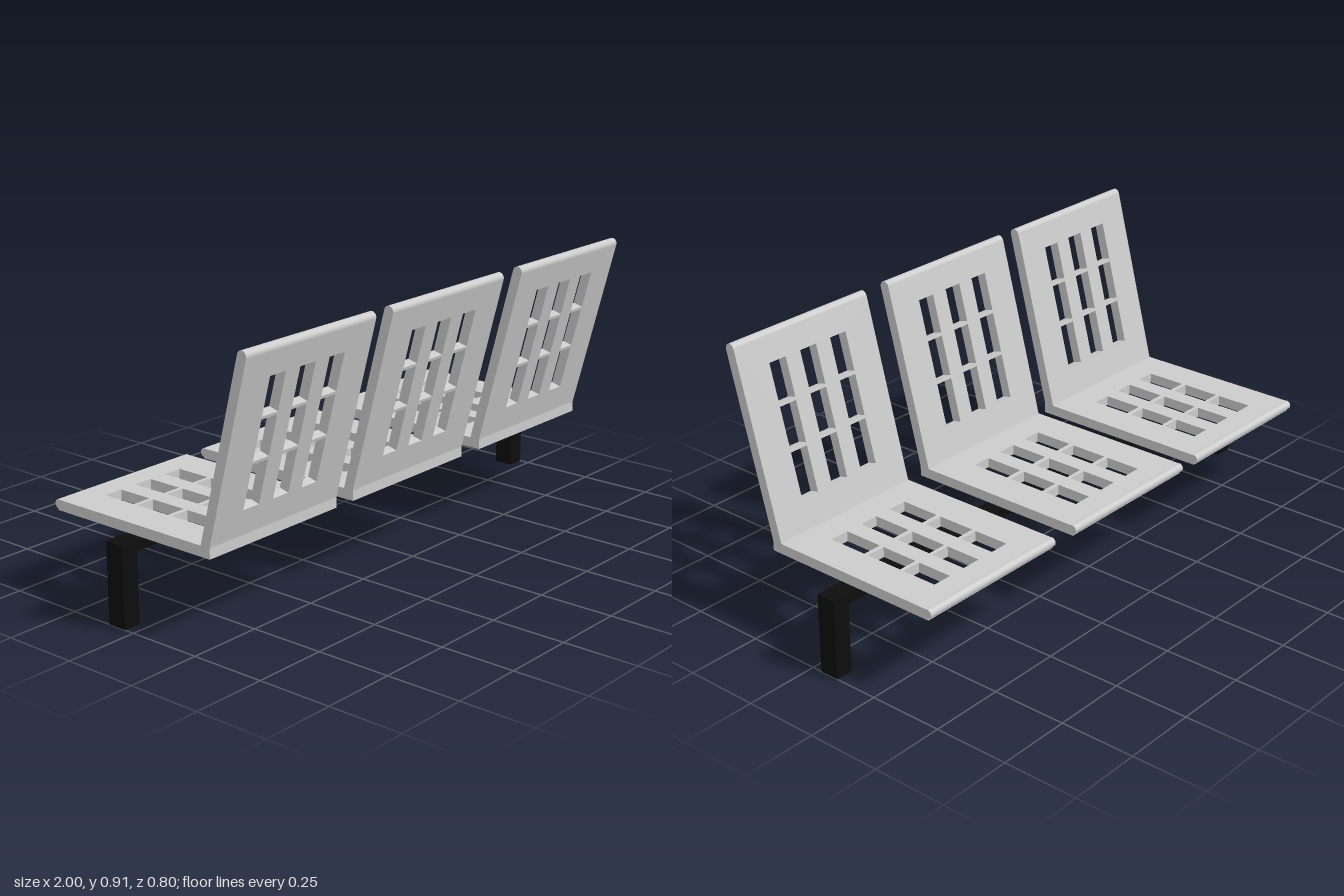
import * as THREE from 'three';

const WIDTH = 0.553;
const THICK = 0.034;
const SLOT_W = 0.066;

const shellMat = new THREE.MeshStandardMaterial({ color: 0xcccccc });
const frameMat = new THREE.MeshStandardMaterial({ color: 0x0d0d0d });

function addMesh(parent, name, geometry, material, x = 0, y = 0, z = 0) {
  const mesh = new THREE.Mesh(geometry, material);
  mesh.name = name;
  mesh.position.set(x, y, z);
  parent.add(mesh);
  return mesh;
}

function rectangle(path, x0, y0, x1, y1) {
  path.moveTo(x0, y0);
  path.lineTo(x1, y0);
  path.lineTo(x1, y1);
  path.lineTo(x0, y1);
  path.closePath();
  return path;
}

// Flat panel in x/y, three columns of slots; rows are [start, end] along y
function slottedPanel(y0, y1, rows) {
  const shape = rectangle(new THREE.Shape(), -WIDTH / 2, y0, WIDTH / 2, y1);
  for (const x of [-0.126, 0, 0.126]) {
    for (const [a, b] of rows) {
      shape.holes.push(rectangle(new THREE.Path(), x - SLOT_W / 2, a, x + SLOT_W / 2, b));
    }
  }
  return new THREE.ExtrudeGeometry(shape, { depth: THICK, bevelEnabled: false });
}

function roundedEdge(radius) {
  return new THREE.CylinderGeometry(radius, radius, WIDTH, 24).rotateZ(Math.PI / 2);
}

function createChair() {
  const chair = new THREE.Group();
  chair.name = 'chair';

  // Horizontal seat with a rounded lip
  const seat = slottedPanel(-0.245, 0.388, [[-0.115, 0.022], [0.038, 0.168], [0.182, 0.305]]);
  seat.rotateX(-Math.PI / 2);
  addMesh(chair, 'seat', seat, shellMat, 0, 0.27, 0);
  addMesh(chair, 'seatLip', roundedEdge(0.015), shellMat, 0, 0.29, -0.385);

  // Reclined backrest, hinged on the outer lower edge
  const backrest = new THREE.Group();
  backrest.name = 'backrest';
  backrest.position.set(0, 0.305, 0.245);
  backrest.rotation.x = THREE.MathUtils.degToRad(14.7);
  const panel = slottedPanel(-0.012, 0.602, [[0.089, 0.239], [0.249, 0.384], [0.394, 0.522]]);
  addMesh(backrest, 'backPanel', panel, shellMat, 0, 0, -THICK);
  addMesh(backrest, 'backTopEdge', roundedEdge(THICK / 2), shellMat, 0, 0.602, -THICK / 2);
  chair.add(backrest);
  return chair;
}

export function createModel() {
  const bench = new THREE.Group();
  bench.name = 'bench';

  // Three chairs in a row
  for (const x of [-0.649, -0.018, 0.632]) {
    const chair = createChair();
    chair.position.x = x;
    bench.add(chair);
  }

  // Supporting beam and two legs
  addMesh(bench, 'beam', new THREE.BoxGeometry(1.88, 0.035, 0.066), frameMat, 0, 0.2465, -0.068);
  for (const side of [-1, 1]) {
    addMesh(bench, side > 0 ? 'leftLeg' : 'rightLeg',
      new THREE.BoxGeometry(0.06, 0.264, 0.066), frameMat, side * 0.97, 0.132, -0.068);
  }
  return bench;
}
